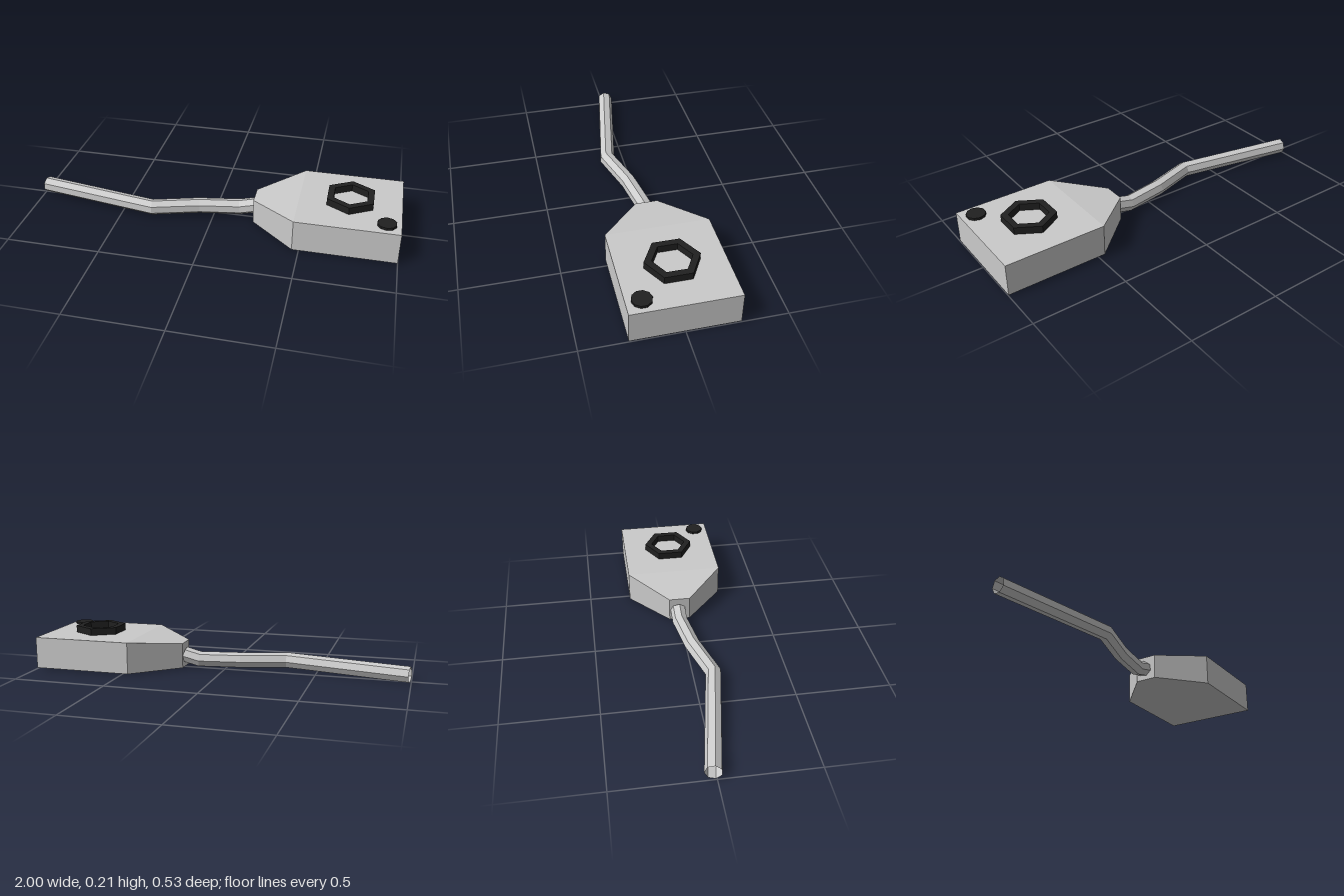
import * as THREE from 'three';

const shellGrey = new THREE.MeshStandardMaterial({ color: 0xcbcbcb });
shellGrey.name = 'shellGrey';
const cableGrey = new THREE.MeshStandardMaterial({ color: 0xcccccc, side: THREE.DoubleSide });
cableGrey.name = 'cableGrey';
const black = new THREE.MeshStandardMaterial({ color: 0x202020 });
black.name = 'black';

// Splits shared corners so every face is flat shaded
function faceted(geometry) {
  const g = geometry.index ? geometry.toNonIndexed() : geometry;
  g.computeVertexNormals();
  return g;
}

function addMesh(group, name, geometry, material) {
  const mesh = new THREE.Mesh(faceted(geometry), material);
  mesh.name = name;
  group.add(mesh);
  return mesh;
}

// Box of two segments, tapered toward the cable: [x, half width, top]
function bodyGeometry() {
  const sections = [[0.225, 0.058, 0.147], [0.465, 0.267, 0.18], [1, 0.267, 0.18]];
  const g = new THREE.BoxGeometry(2, 2, 2, 2, 1, 1);
  const p = g.attributes.position;
  for (let i = 0; i < p.count; i++) {
    const [x, half, top] = sections[Math.round(p.getX(i)) + 1];
    p.setXYZ(i, x, p.getY(i) > 0 ? top : 0.01, p.getZ(i) * half);
  }
  return g;
}

// Seven-sided open tube with mitred bends
function cableGeometry(points, radius, sides) {
  const path = points.map((p) => new THREE.Vector3(...p));
  const up = new THREE.Vector3(0, 1, 0);
  const positions = [];
  const index = [];
  path.forEach((p, i) => {
    const before = path[Math.max(i - 1, 0)];
    const after = path[Math.min(i + 1, path.length - 1)];
    const dirIn = p.clone().sub(before).normalize();
    const dirOut = after.clone().sub(p).normalize();
    const tangent = dirIn.add(dirOut).normalize();
    const side = tangent.clone().cross(up).normalize();
    const rise = side.clone().cross(tangent);
    for (let j = 0; j < sides; j++) {
      const a = THREE.MathUtils.degToRad(80) + (j / sides) * Math.PI * 2;
      const v = p.clone()
        .addScaledVector(side, Math.cos(a) * radius)
        .addScaledVector(rise, Math.sin(a) * radius);
      positions.push(v.x, v.y, v.z);
      if (i > 0) {
        const k = (j + 1) % sides;
        const a0 = (i - 1) * sides + j, b0 = (i - 1) * sides + k;
        const a1 = i * sides + j, b1 = i * sides + k;
        index.push(a0, a1, b1, a0, b1, b0);
      }
    }
  });
  // Keep the winding facing outward
  for (let t = 0; t < index.length; t += 3) {
    const [a, b, c] = [0, 1, 2].map((n) => new THREE.Vector3().fromArray(positions, index[t + n] * 3));
    const ring = Math.floor(index[t] / sides);
    const normal = b.clone().sub(a).cross(c.clone().sub(a));
    const next = path[Math.min(ring + 1, path.length - 1)];
    const mid = path[ring].clone().add(next).multiplyScalar(0.5);
    const out = a.add(b).add(c).divideScalar(3).sub(mid);
    const axis = next.clone().sub(path[ring]).normalize();
    out.addScaledVector(axis, -out.dot(axis));
    if (normal.dot(out) < 0) [index[t + 1], index[t + 2]] = [index[t + 2], index[t + 1]];
  }
  const g = new THREE.BufferGeometry();
  g.setAttribute('position', new THREE.Float32BufferAttribute(positions, 3));
  g.setIndex(index);
  return g;
}

// Hexagon outline with corners toward the front and back
function hexagon(radius, Type) {
  const corners = [];
  for (let i = 0; i < 6; i++) {
    const a = Math.PI / 2 + (i * Math.PI) / 3;
    corners.push(new THREE.Vector2(Math.cos(a) * radius, Math.sin(a) * radius));
  }
  return new Type(corners);
}

export function createModel() {
  const model = new THREE.Group();
  model.name = 'wiredController';

  addMesh(model, 'body', bodyGeometry(), shellGrey);

  const cablePath = [
    [-0.993, 0.046, -0.017], [-0.327, 0.053, 0.1], [-0.08, 0.054, 0.027],
    [0.14, 0.055, -0.009], [0.226, 0.077, -0.009],
  ];
  addMesh(model, 'cable', cableGeometry(cablePath, 0.043, 7), cableGrey);

  // Raised six-sided ring on the top face
  const ringShape = hexagon(0.138, THREE.Shape);
  ringShape.holes.push(hexagon(0.1, THREE.Path));
  const ring = addMesh(model, 'hexagonRing',
    new THREE.ExtrudeGeometry(ringShape, { depth: 0.039, bevelEnabled: false }), black);
  ring.rotation.x = -Math.PI / 2;
  ring.position.set(0.731, 0.179, -0.002);

  // Small round button in the front corner
  const button = addMesh(model, 'button', new THREE.CylinderGeometry(0.05, 0.05, 0.014, 10), black);
  button.position.set(0.926, 0.186, 0.19);

  return model;
}
